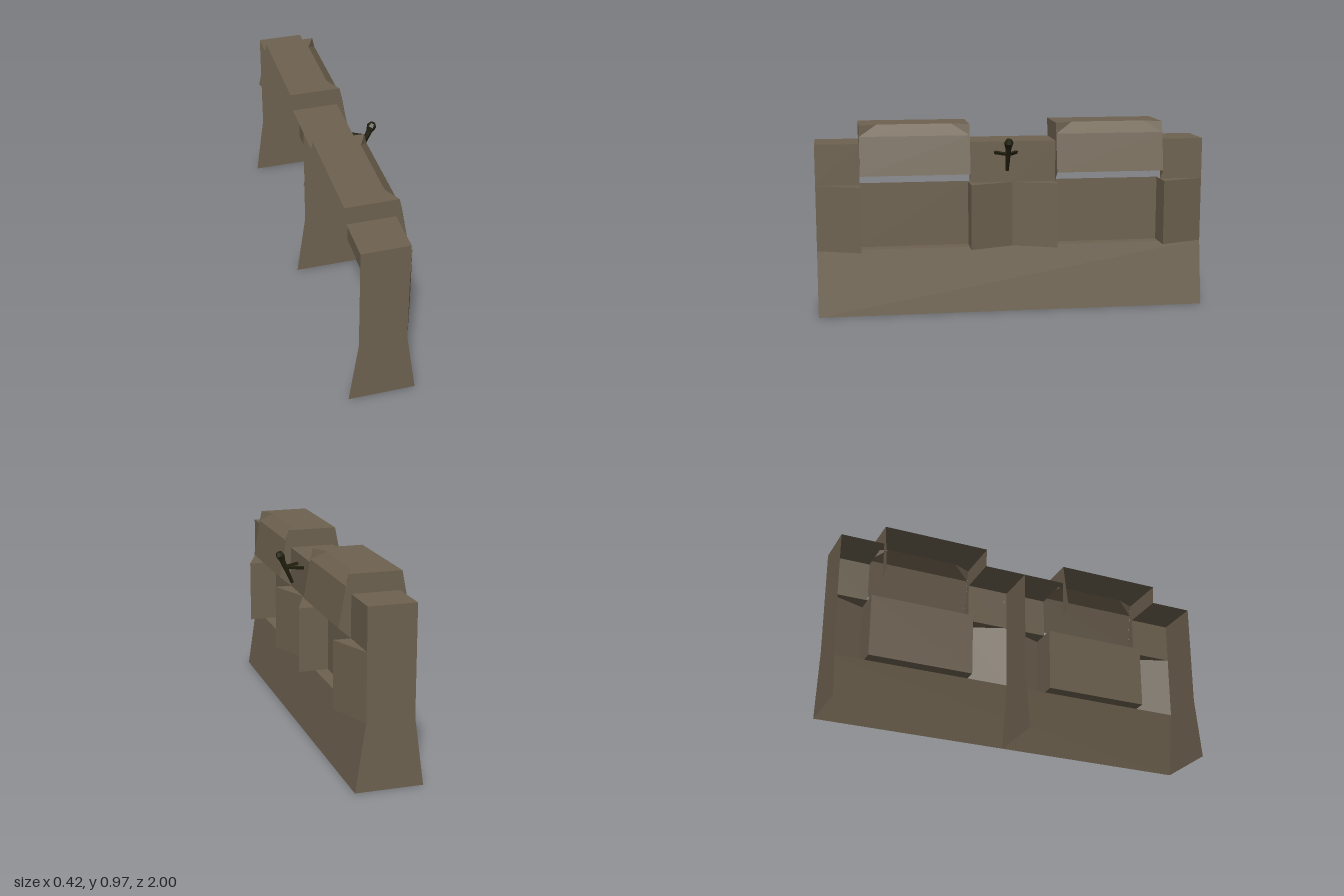
import * as THREE from 'three';

const stone = new THREE.MeshStandardMaterial({ color: 0x6e6250, side: THREE.DoubleSide });
stone.name = 'stone';
const charredWood = new THREE.MeshStandardMaterial({ color: 0x22200f });
charredWood.name = 'charredWood';

// Levels and depths shared by all wall parts
const LEDGE = 0.335, SILL = 0.668, WALK = 0.877, EAVE = 0.72, TOP = 0.97;
const BACK = -0.155, FACE = 0.08, RECESS = 0.013, BUTTRESS = 0.166;

// Thin shell made of flat polygons, each fanned from its first corner
function shell(name, polygons) {
  const positions = [];
  for (const p of polygons) {
    for (let i = 1; i < p.length - 1; i++) positions.push(...p[0], ...p[i], ...p[i + 1]);
  }
  const geometry = new THREE.BufferGeometry();
  geometry.setAttribute('position', new THREE.Float32BufferAttribute(positions, 3));
  geometry.computeVertexNormals();
  const mesh = new THREE.Mesh(geometry, stone);
  mesh.name = name;
  return mesh;
}

// Polygon in a plane of constant z; facing is +1 or -1 along z
function slice(z, facing, points) {
  const p = points.map(([x, y]) => [x, y, z]);
  return facing > 0 ? p : p.reverse();
}

// Flared cross wall
function crossWall(z, facing) {
  const p = slice(z, 1, [[BACK, LEDGE], [-0.202, 0], [0.13, 0], [FACE, LEDGE], [FACE, WALK], [BACK, WALK]]);
  return shell('crossWall', [facing > 0 ? p : [p[0], ...p.slice(1).reverse()]]);
}

// Half pier from its root (at a cross wall) to the edge of a bay
function halfPier(root, edge) {
  const s = Math.sign(edge - root);
  const turn = (p) => (s > 0 ? [...p].reverse() : p);
  return shell('pier', [
    // walkway top and upper face
    turn([[BACK, WALK, root], [FACE, WALK, root], [FACE, WALK, edge], [BACK, WALK, edge]]),
    turn([[FACE, SILL, root], [FACE, SILL, edge], [FACE, WALK, edge], [FACE, WALK, root]]),
    // wedge buttress: slanted face, side and top
    turn([[FACE, LEDGE, root], [BUTTRESS, LEDGE, edge], [BUTTRESS, SILL, edge], [FACE, SILL, root]]),
    slice(edge, s, [[RECESS, LEDGE], [BUTTRESS, LEDGE], [BUTTRESS, SILL], [RECESS, SILL]]),
    turn([[FACE, SILL, root], [BUTTRESS, SILL, edge], [FACE, SILL, edge]]),
  ]);
}

// Raised, overhanging merlon with a bevelled front top edge
function merlon(z0, z1) {
  const a = z0 + 0.09, b = z1 - 0.09;
  const xb = 0.106, yb = 0.915, xt = 0.094, xi = 0.05, xl = -0.165;
  const polygons = [
    // top, narrowed along the bevel
    [[xl, TOP, z0], [xl, TOP, a], [xi, TOP, a], [xt, TOP, z0]],
    [[xl, TOP, a], [xl, TOP, b], [xi, TOP, b], [xi, TOP, a]],
    [[xl, TOP, b], [xl, TOP, z1], [xt, TOP, z1], [xi, TOP, b]],
    // bevel and its corner triangles
    [[xi, TOP, a], [xi, TOP, b], [xb, yb, z1], [xb, yb, z0]],
    [[xt, TOP, z0], [xi, TOP, a], [xb, yb, z0]],
    [[xt, TOP, z1], [xb, yb, z1], [xi, TOP, b]],
    // leaning front
    [[xb, yb, z0], [xb, yb, z1], [0.141, EAVE, z1], [0.141, EAVE, z0]],
  ];
  for (const [z, facing] of [[z0, -1], [z1, 1]]) {
    polygons.push(
      slice(z, facing, [[BACK, WALK], [FACE, WALK], [xt, TOP], [xl, TOP]]),
      slice(z, facing, [[FACE, WALK], [FACE, SILL], [0.141, EAVE], [xt, TOP]]),
    );
  }
  // rear bracket at one end only
  polygons.push([[BACK, WALK, z0], [xl, TOP, z0], [-0.214, EAVE, z0], [BACK, SILL, z0]]);
  return shell('merlon', polygons);
}

// Tapered stick between two points
function stick(name, from, to, r0, r1, sides) {
  const a = new THREE.Vector3(...from), b = new THREE.Vector3(...to);
  const dir = b.clone().sub(a);
  const geometry = new THREE.CylinderGeometry(r1, r0, dir.length(), sides).toNonIndexed();
  geometry.computeVertexNormals();
  const mesh = new THREE.Mesh(geometry, charredWood);
  mesh.name = name;
  mesh.position.copy(a).add(b).multiplyScalar(0.5);
  mesh.quaternion.setFromUnitVectors(new THREE.Vector3(0, 1, 0), dir.normalize());
  return mesh;
}

export function createModel() {
  const model = new THREE.Group();
  model.name = 'battlementWall';

  // Sloped footing along the whole length
  model.add(shell('footing', [[[0.13, 0, 1], [0.13, 0, -1], [FACE, LEDGE, -1], [FACE, LEDGE, 1]]]));

  for (const [z, facing] of [[-1, -1], [0, -1], [1, 1]]) model.add(crossWall(z, facing));

  // Two equal bays
  for (const z of [-1, 0]) {
    const z0 = z + 0.222, z1 = z + 0.778;
    model.add(halfPier(z, z0), halfPier(z + 1, z1), merlon(z0, z1));
    model.add(shell('recessedPanel', [
      [[RECESS, LEDGE, z1], [RECESS, LEDGE, z0], [RECESS, SILL, z0], [RECESS, SILL, z1]],
      [[RECESS, LEDGE, z0], [RECESS, LEDGE, z1], [FACE, LEDGE, z1], [FACE, LEDGE, z0]],
    ]));
  }

  // Wall torch with two braces
  const torch = new THREE.Group();
  torch.name = 'torch';
  const tz = 0.035;
  torch.add(stick('torchShaft', [0.126, 0.735, tz], [0.186, 0.872, tz], 0.009, 0.016, 6));
  torch.add(stick('torchHeadLower', [0.178, 0.855, tz], [0.19, 0.883, tz], 0.016, 0.024, 6));
  torch.add(stick('torchHeadUpper', [0.19, 0.883, tz], [0.197, 0.9, tz], 0.024, 0.015, 6));
  for (const s of [-1, 1]) {
    torch.add(stick('torchBrace', [FACE, 0.822, tz + s * 0.055], [0.163, 0.822, tz + s * 0.008], 0.01, 0.009, 4));
  }
  model.add(torch);

  return model;
}
